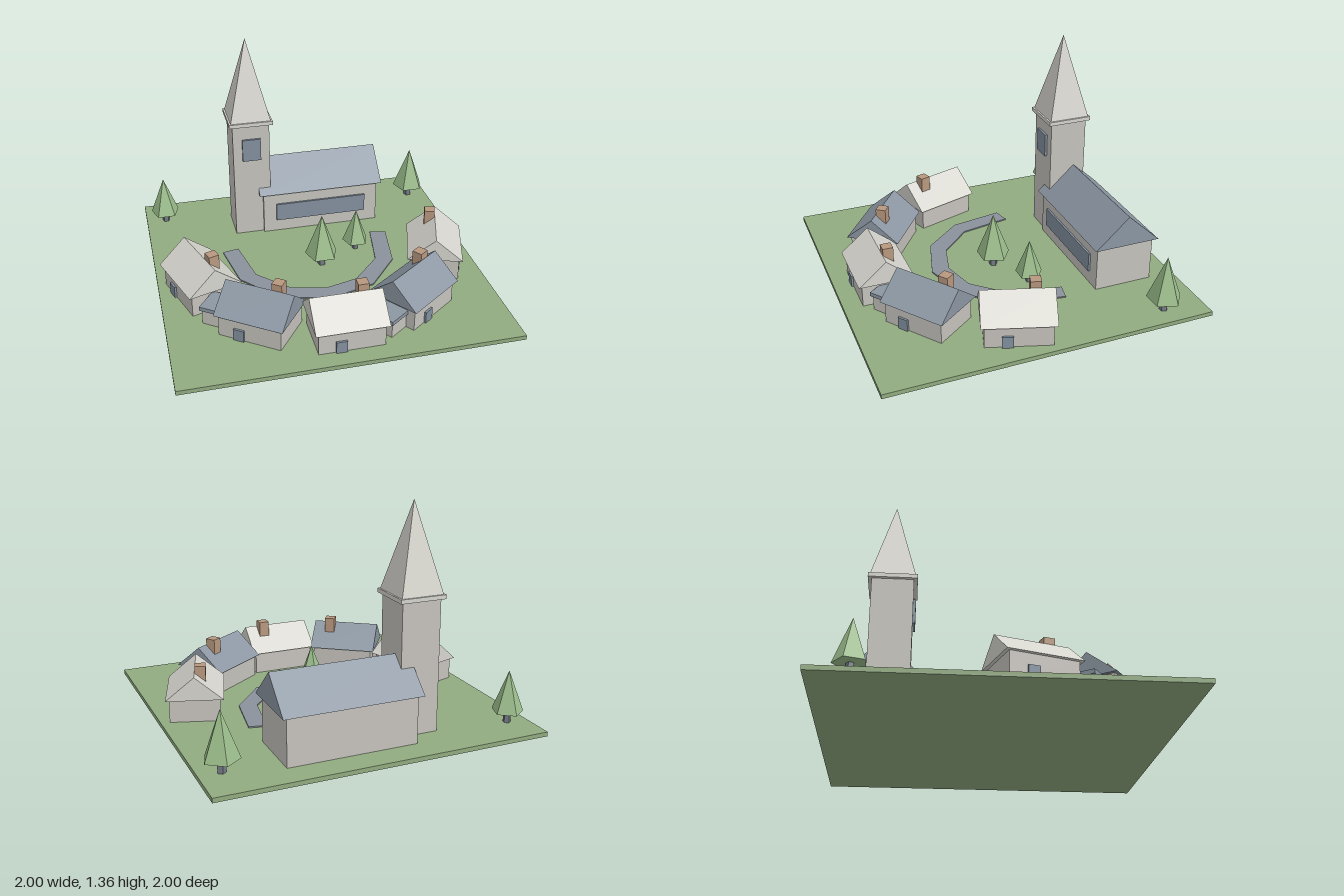
import * as THREE from 'three';

const flat = (name, color) => {
  const m = new THREE.MeshStandardMaterial({ color, flatShading: true });
  m.name = name;
  return m;
};

const GROUND = 0.027; // top of the green

export function createModel() {
  const mat = {
    grass: flat('grass', 0x91ab80),
    wall: flat('stone wall', 0xc6c3bd),
    pale: flat('pale roof', 0xd6d5ce),
    slate: flat('slate', 0x8c97a3),
    glass: flat('window and door', 0x82909e),
    path: flat('path', 0x8a929c),
    brick: flat('chimney brick', 0xb8987f),
    leaf: flat('tree needles', 0x9bbd8b),
    trunk: flat('tree trunk', 0x757d88),
  };
  const model = new THREE.Group();
  model.name = 'village';

  const add = (parent, name, geometry, material, x = 0, y = 0, z = 0) => {
    const mesh = new THREE.Mesh(geometry, material);
    mesh.name = name;
    mesh.position.set(x, y, z);
    parent.add(mesh);
    return mesh;
  };
  // Box given by its width, depth, bottom and top
  const box = (parent, name, material, x, z, w, d, y0, y1) =>
    add(parent, name, new THREE.BoxGeometry(w, y1 - y0, d), material, x, (y0 + y1) / 2, z);
  // Solid gable roof with its ridge along x
  const gable = (parent, name, material, x, z, w, d, y0, y1) => {
    const shape = new THREE.Shape([
      new THREE.Vector2(-d / 2, 0), new THREE.Vector2(d / 2, 0), new THREE.Vector2(0, y1 - y0),
    ]);
    const geo = new THREE.ExtrudeGeometry(shape, { depth: w, bevelEnabled: false });
    geo.translate(0, 0, -w / 2).rotateY(Math.PI / 2);
    return add(parent, name, geo, material, x, y0, z);
  };
  const group = (name, x = 0, z = 0, angle = 0) => {
    const g = new THREE.Group();
    g.name = name;
    g.position.set(x, 0, z);
    g.rotation.y = angle;
    model.add(g);
    return g;
  };

  box(model, 'ground', mat.grass, 0, 0, 2, 2, 0, GROUND);

  // Church: nave, tower, ledge and spire
  const church = group('church');
  box(church, 'nave', mat.wall, 0.152, -0.655, 0.78, 0.37, GROUND, 0.312);
  gable(church, 'naveRoof', mat.slate, 0.152, -0.655, 0.835, 0.42, 0.312, 0.505);
  box(church, 'naveWindow', mat.glass, 0.152, -0.466, 0.61, 0.018, 0.11, 0.23);
  box(church, 'tower', mat.wall, -0.305, -0.61, 0.24, 0.24, GROUND, 0.815);
  box(church, 'towerLedge', mat.pale, -0.305, -0.61, 0.282, 0.282, 0.815, 0.84);
  box(church, 'towerWindow', mat.glass, -0.305, -0.484, 0.12, 0.018, 0.57, 0.72);
  const spire = new THREE.ConeGeometry(0.13 * Math.SQRT2, 0.52, 4).rotateY(Math.PI / 4);
  add(church, 'spire', spire, mat.pale, -0.305, 1.1, -0.61);

  // Cottages in an arc, doors facing outwards
  const cottage = (x, z, degrees, roof, annex) => {
    const g = group('cottage', x, z, THREE.MathUtils.degToRad(degrees));
    box(g, 'walls', mat.wall, 0, 0, 0.39, 0.298, GROUND, 0.165);
    gable(g, 'roof', roof, 0, 0, 0.43, 0.342, 0.165, 0.308);
    box(g, 'chimney', mat.brick, 0.104, -0.035, 0.064, 0.064, 0.23, 0.348);
    box(g, 'door', mat.glass, -0.063, 0.153, 0.065, 0.018, GROUND, 0.1);
    if (annex) {
      box(g, 'annexWalls', mat.wall, -0.245, 0.016, 0.17, 0.15, GROUND, 0.12);
      box(g, 'annexRoof', mat.slate, -0.245, 0.016, 0.195, 0.172, 0.12, 0.145);
    }
  };
  cottage(0, 0.736, 0, mat.pale, false);
  for (const s of [-1, 1]) {
    cottage(s * 0.46, 0.566, s * 36, mat.slate, true);
    cottage(s * 0.746, 0.135, s * 72, mat.pale, false);
  }

  // Curved path: the left half outline, mirrored
  const outer = [[0.552, -0.265], [0.497, 0.067], [0.297, 0.307], [0, 0.393]];
  const inner = [[0.449, -0.286], [0.39, 0.035], [0.209, 0.227], [0, 0.281]];
  const mirrored = (pts) => [...pts, ...pts.slice(0, -1).reverse().map(([x, z]) => [-x, z])];
  const outline = [...mirrored(outer), ...mirrored(inner).reverse()];
  const pathShape = new THREE.Shape(outline.map(([x, z]) => new THREE.Vector2(x, -z)));
  const pathGeo = new THREE.ExtrudeGeometry(pathShape, { depth: 0.008, bevelEnabled: false });
  add(model, 'path', pathGeo.rotateX(-Math.PI / 2), mat.path, 0, GROUND, 0);

  // Fir trees: x, z, scale
  for (const [x, z, s] of [[-0.87, -0.78, 0.9], [0.87, -0.745, 1], [0.043, 0, 1], [0.303, -0.132, 0.8]]) {
    const tree = group('tree', x, z, Math.PI);
    const trunk = new THREE.CylinderGeometry(0.026 * s, 0.026 * s, 0.09 * s, 5);
    add(tree, 'trunk', trunk, mat.trunk, 0, GROUND + 0.045 * s, 0);
    const crown = new THREE.ConeGeometry(0.106 * s, 0.277 * s, 5);
    add(tree, 'crown', crown, mat.leaf, 0, GROUND + 0.2145 * s, 0);
  }
  return model;
}
